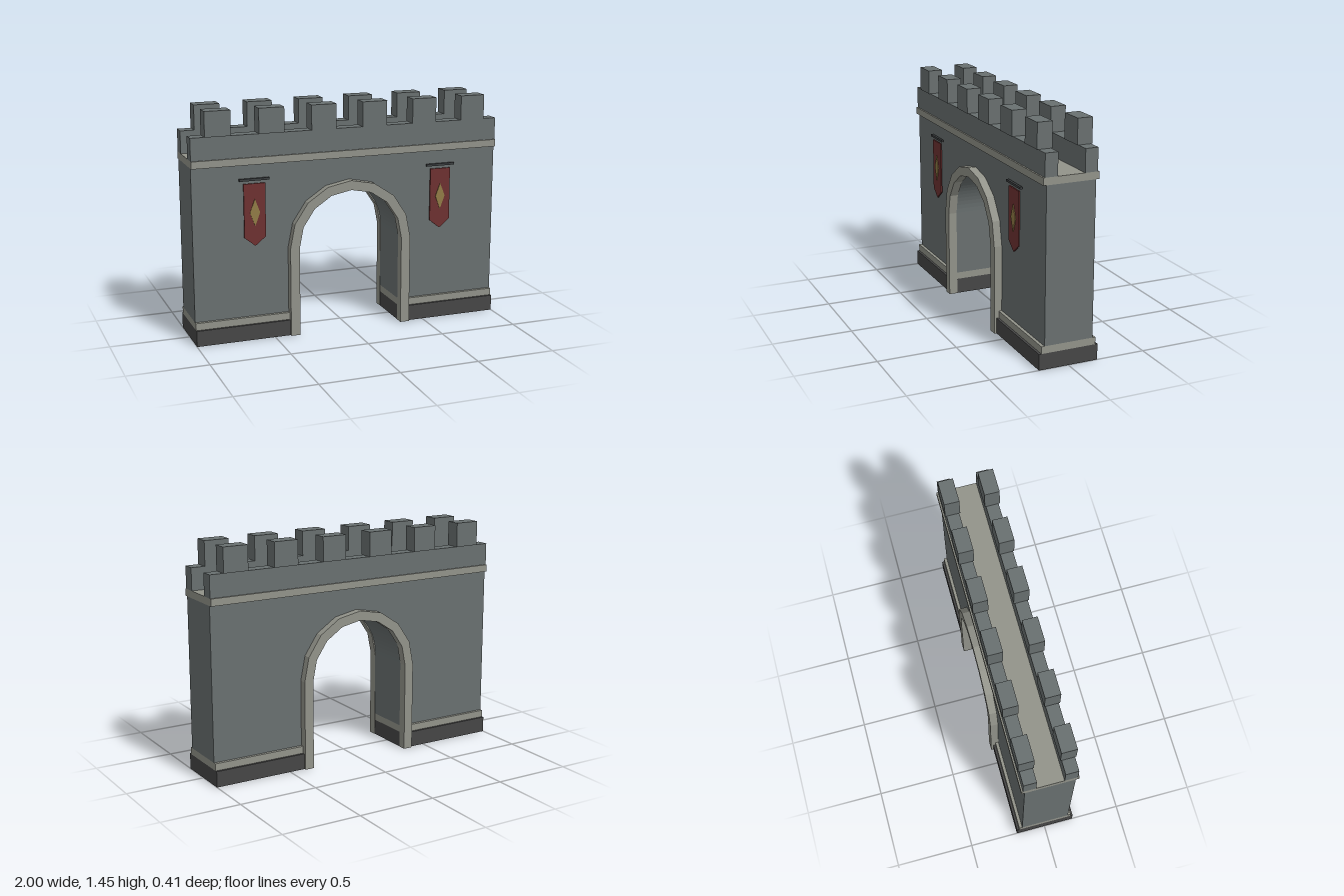
import * as THREE from 'three';

const mat = (name, color) => Object.assign(new THREE.MeshStandardMaterial({ color }), { name });

export function createModel() {
  const stone = mat('wall stone', 0x697070);
  const trim = mat('trim stone', 0x92938a);
  const dark = mat('dark base stone', 0x464646);
  const iron = mat('iron', 0x3c3f41);
  const cloth = mat('red cloth', 0x6e3131);
  const gold = mat('gold', 0x917c46);

  const model = new THREE.Group();
  model.name = 'castleGateWall';

  const add = (name, geometry, material) => {
    const mesh = new THREE.Mesh(geometry, material);
    mesh.name = name;
    model.add(mesh);
    return mesh;
  };
  // Box given by its low and high limits on each axis
  const box = (name, material, x0, x1, y0, y1, z0, z1) => {
    const mesh = add(name, new THREE.BoxGeometry(x1 - x0, y1 - y0, z1 - z0), material);
    mesh.position.set((x0 + x1) / 2, (y0 + y1) / 2, (z0 + z1) / 2);
    return mesh;
  };
  // Flat outline pushed out from z0 to z1
  const plate = (name, material, shape, z0, z1) => {
    const geometry = new THREE.ExtrudeGeometry(shape, { depth: z1 - z0, bevelEnabled: false, curveSegments: 20 });
    geometry.translate(0, 0, z0);
    return add(name, geometry, material);
  };
  const polygon = (points) => new THREE.Shape(points.map(([x, y]) => new THREE.Vector2(x, y)));

  const spring = 0.565, inner = 0.34, outer = 0.4, opening = 0.342;

  // Wall with arched passage
  const wall = new THREE.Shape();
  wall.moveTo(-1, 0.145);
  wall.lineTo(-opening, 0.145);
  wall.lineTo(-opening, spring);
  wall.absarc(0, spring, opening, Math.PI, 0, true);
  wall.lineTo(opening, 0.145);
  wall.lineTo(1, 0.145);
  wall.lineTo(1, 1.105);
  wall.lineTo(-1, 1.105);
  plate('wall', stone, wall, -0.155, 0.155);

  // Plinths either side of the passage
  for (const [side, x0, x1] of [['right', -1, -opening], ['left', opening, 1]]) {
    box(side + 'Base', dark, x0, x1, 0, 0.1, -0.19, 0.19);
    box(side + 'BaseTrim', trim, x0, x1, 0.1, 0.145, -0.175, 0.175);
  }

  // Cornice and walkway
  box('cornice', trim, -1, 1, 1.105, 1.15, -0.175, 0.175);

  for (const [face, s] of [['front', 1], ['back', -1]]) {
    const span = (a, b) => (s > 0 ? [a, b] : [-b, -a]);

    // Parapet and merlons
    box(face + 'Parapet', stone, -1, 1, 1.15, 1.29, ...span(0.085, 0.165));
    for (let i = 0; i < 6; i++) {
      const x = (i + 0.5) / 3 - 1;
      box(face + 'Merlon' + (i + 1), stone, x - 0.08, x + 0.08, 1.29, 1.445, ...span(0.078, 0.173));
    }

    // Arch surround: two jambs and eight straight voussoirs
    box(face + 'RightJamb', trim, -outer, -inner, 0, spring, ...span(0.15, 0.205));
    box(face + 'LeftJamb', trim, inner, outer, 0, spring, ...span(0.15, 0.205));
    const at = (r, i) => [r * Math.cos(i * Math.PI / 8), spring + r * Math.sin(i * Math.PI / 8)];
    for (let i = 0; i < 8; i++) {
      const block = polygon([at(inner, i), at(outer, i), at(outer, i + 1), at(inner, i + 1)]);
      plate(face + 'Voussoir' + (i + 1), trim, block, ...span(0.15, 0.205));
    }
  }

  // Banners on the front
  for (const [side, x] of [['right', -0.615], ['left', 0.615]]) {
    box(side + 'BannerRod', iron, x - 0.095, x + 0.095, 1.008, 1.022, 0.165, 0.181);
    const flag = polygon([[x - 0.068, 0.99], [x - 0.068, 0.655], [x, 0.6], [x + 0.068, 0.655], [x + 0.068, 0.99]]);
    plate(side + 'Banner', cloth, flag, 0.168, 0.177);
    const diamond = polygon([[x - 0.032, 0.81], [x, 0.725], [x + 0.032, 0.81], [x, 0.895]]);
    plate(side + 'BannerDiamond', gold, diamond, 0.177, 0.181);
  }

  return model;
}
